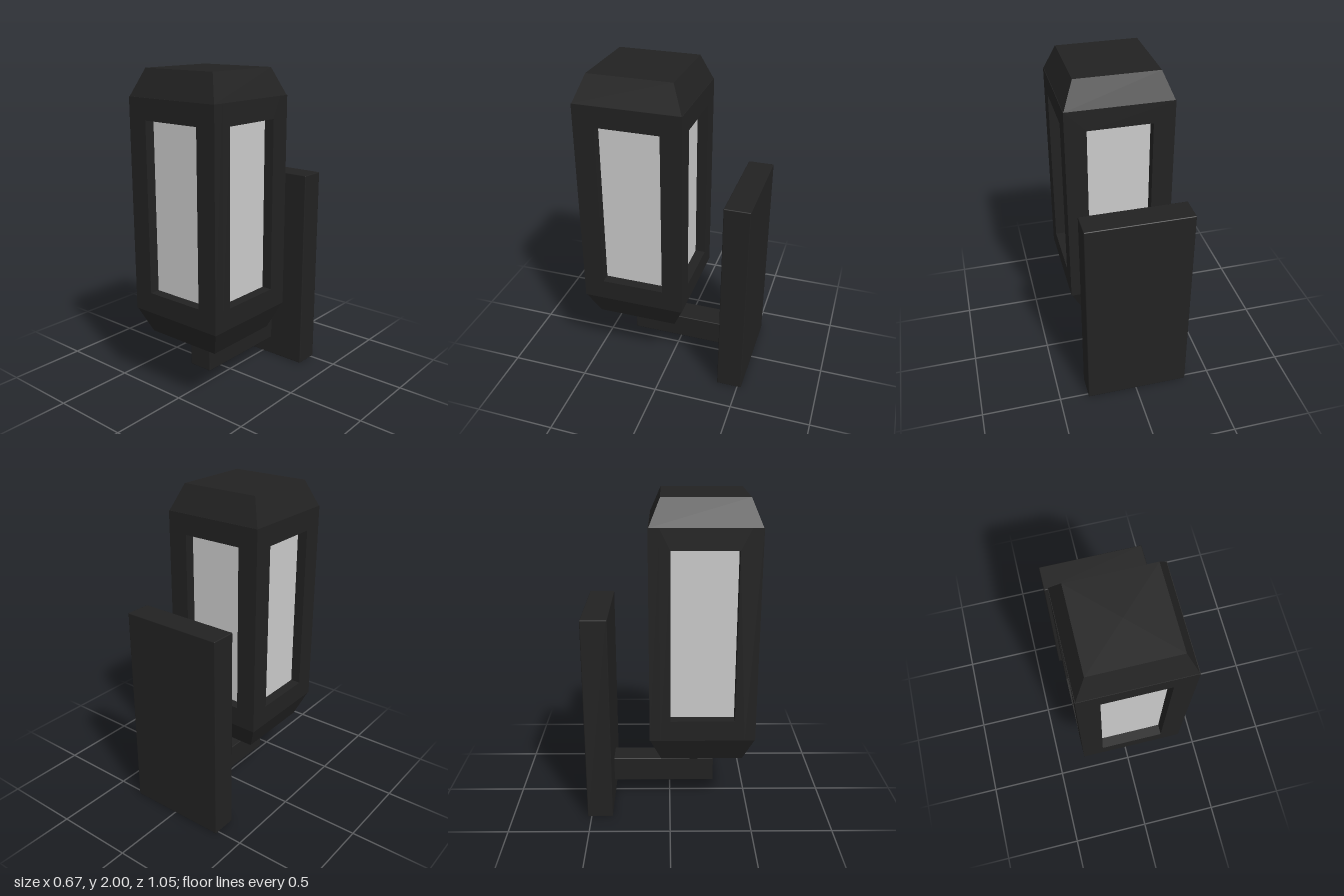
import * as THREE from 'three';
import { RoundedBoxGeometry } from 'three/addons/geometries/RoundedBoxGeometry.js';

const HALF = 0.325;      // half width of the lantern body
const CAP_HALF = 0.255;  // half width of the narrow ends
const RECESS = 0.065;    // depth of the window openings
const BODY_LOW = 0.53, BODY_HIGH = 1.84;

export function createModel() {
  const black = new THREE.MeshStandardMaterial({ color: 0x222222 });
  black.name = 'blackMetal';
  const frosted = new THREE.MeshStandardMaterial({ color: 0xcacaca });
  frosted.name = 'frostedGlass';

  const model = new THREE.Group();
  model.name = 'wallLantern';

  const add = (parent, name, geometry, material, x = 0, y = 0, z = 0) => {
    const mesh = new THREE.Mesh(geometry, material);
    mesh.name = name;
    mesh.position.set(x, y, z);
    parent.add(mesh);
    return mesh;
  };

  // Box with slightly softened edges, given by its extents
  const block = (name, [x0, x1], [y0, y1], [z0, z1]) => add(
    model, name,
    new RoundedBoxGeometry(x1 - x0, y1 - y0, z1 - z0, 1, 0.005), black,
    (x0 + x1) / 2, (y0 + y1) / 2, (z0 + z1) / 2);

  // Wall plate, arm and stem
  block('wallPlate', [-0.335, 0.317], [0, 1.312], [-0.525, -0.365]);
  block('arm', [-0.09, 0.07], [0.122, 0.282], [-0.37, 0.285]);
  block('stem', [-0.09, 0.07], [0.275, 0.38], [0.125, 0.285]);

  const lantern = new THREE.Group();
  lantern.name = 'lantern';
  lantern.position.set(0.006, 0, 0.2);
  model.add(lantern);

  // Square frustum with flat sides
  const frustum = (topHalf, bottomHalf, height) => {
    const g = new THREE.CylinderGeometry(
      topHalf * Math.SQRT2, bottomHalf * Math.SQRT2, height, 4, 1, false, Math.PI / 4
    ).toNonIndexed();
    g.computeVertexNormals();
    return g;
  };
  const topHeight = 2 - BODY_HIGH, lowHeight = BODY_LOW - 0.37;
  add(lantern, 'topCap', frustum(CAP_HALF, HALF - 0.003, topHeight), black, 0, BODY_HIGH + topHeight / 2);
  add(lantern, 'bottomCap', frustum(HALF - 0.003, CAP_HALF, lowHeight), black, 0, BODY_LOW - lowHeight / 2);

  // Window frames: a wide pair front and back, a narrower pair between them
  const framePanel = (half) => {
    const shape = new THREE.Shape([
      [-half, BODY_LOW], [half, BODY_LOW], [half, BODY_HIGH], [-half, BODY_HIGH]
    ].map(([x, y]) => new THREE.Vector2(x, y)));
    shape.holes.push(new THREE.Path([
      [-0.196, 0.66], [-0.196, 1.712], [0.196, 1.712], [0.196, 0.66]
    ].map(([x, y]) => new THREE.Vector2(x, y))));
    return new THREE.ExtrudeGeometry(shape, { depth: RECESS, bevelEnabled: false });
  };
  ['front', 'left', 'back', 'right'].forEach((side, i) => {
    const panel = new THREE.Group();
    panel.name = side + 'Window';
    panel.rotation.y = i * Math.PI / 2;
    lantern.add(panel);
    add(panel, side + 'Frame', framePanel(i % 2 ? HALF - RECESS : HALF), black, 0, 0, HALF - RECESS);
    // Thin pane set at the back of the opening
    add(panel, side + 'Pane', new THREE.BoxGeometry(0.42, 1.08, 0.008), frosted,
      0, 1.186, HALF - RECESS - 0.003);
  });

  return model;
}
